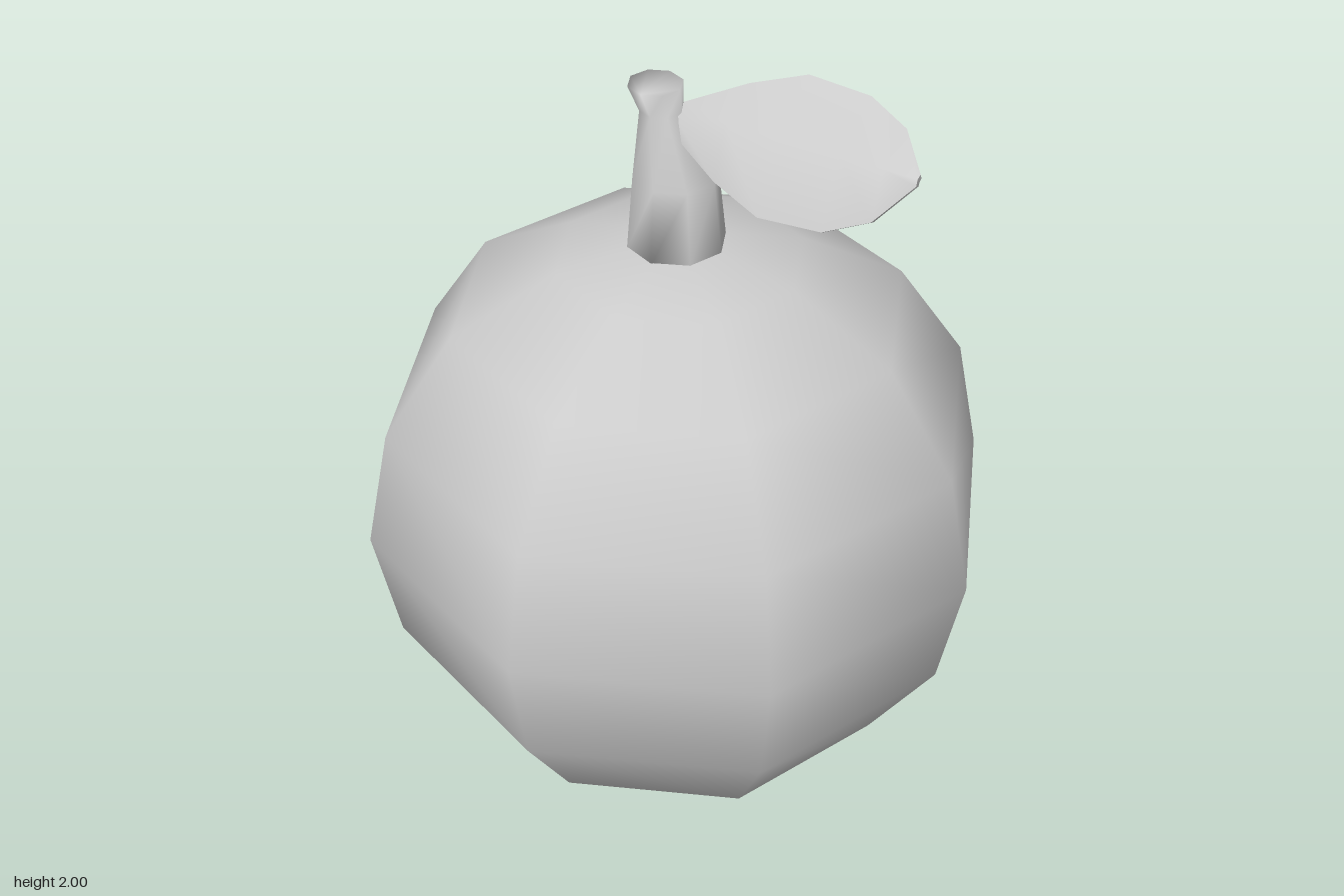
import * as THREE from 'three';
import { toCreasedNormals } from 'three/addons/utils/BufferGeometryUtils.js';

// Skin a list of equal-length loops (counter-clockwise about the travel axis) and cap both ends
function loft(loops) {
  const n = loops[0].length, last = (loops.length - 1) * n, index = [];
  for (let i = 0; i < loops.length - 1; i++) {
    for (let j = 0; j < n; j++) {
      const k = (j + 1) % n;
      const a = i * n + j, b = i * n + k, c = b + n, d = a + n;
      index.push(a, b, c, a, c, d);
    }
  }
  for (let j = 1; j < n - 1; j++) {
    index.push(0, j + 1, j, last, last + j, last + j + 1);
  }
  const geometry = new THREE.BufferGeometry();
  geometry.setAttribute('position', new THREE.Float32BufferAttribute(loops.flat(2), 3));
  geometry.setIndex(index);
  geometry.computeVertexNormals();
  return geometry;
}

export function createModel() {
  const group = new THREE.Group();
  const material = new THREE.MeshStandardMaterial({ color: 0xcccccc });
  const add = (name, geometry) => {
    const mesh = new THREE.Mesh(geometry, material);
    mesh.name = name;
    group.add(mesh);
  };

  // Round fruit, eight-sided, slightly flattened on top
  const profile = [];
  for (let i = 0; i <= 6; i++) {
    const a = (i * Math.PI) / 8;
    profile.push(new THREE.Vector2(0.8 * Math.sin(a), 0.8 - 0.8 * Math.cos(a)));
  }
  profile.push(new THREE.Vector2(0.306, 1.505), new THREE.Vector2(0.12, 1.548), new THREE.Vector2(0, 1.55));
  add('fruit', new THREE.LatheGeometry(profile, 8));

  // Leaning stem with a flared tip: height, x offset, radius
  const stemRings = [
    [1.54, -0.01, 0.122],
    [1.73, -0.013, 0.104],
    [1.89, -0.05, 0.053],
    [1.95, -0.066, 0.066],
  ];
  add('stem', loft(stemRings.map(([y, cx, r]) =>
    Array.from({ length: 8 }, (_, j) => {
      const a = (j * Math.PI) / 4;
      return [cx + r * Math.sin(a), y, r * Math.cos(a)];
    }))));

  // Tilted leaf with a raised midrib: x, then (y, z) of upper edge, midrib, lower edge
  const leafStations = [
    [-0.01, 1.9, -0.035, 1.885, 0.01, 1.845, 0.02],
    [0.13, 1.96, -0.09, 1.91, 0.02, 1.785, 0.075],
    [0.26, 1.998, -0.13, 1.91, 0.025, 1.748, 0.108],
    [0.42, 1.99, -0.123, 1.915, 0.03, 1.757, 0.105],
    [0.53, 1.96, -0.078, 1.915, 0.035, 1.805, 0.083],
    [0.61, 1.915, 0.015, 1.91, 0.03, 1.895, 0.035],
  ];
  const t = 0.012;
  add('leaf', toCreasedNormals(loft(leafStations.map(([x, uy, uz, my, mz, ly, lz]) => [
    [x, uy, uz], [x, my, mz], [x, ly, lz],
    [x, ly - t / 2, lz - t], [x, my - t, mz - t], [x, uy - t, uz - t / 2],
  ])), 1.2));

  return group;
}
